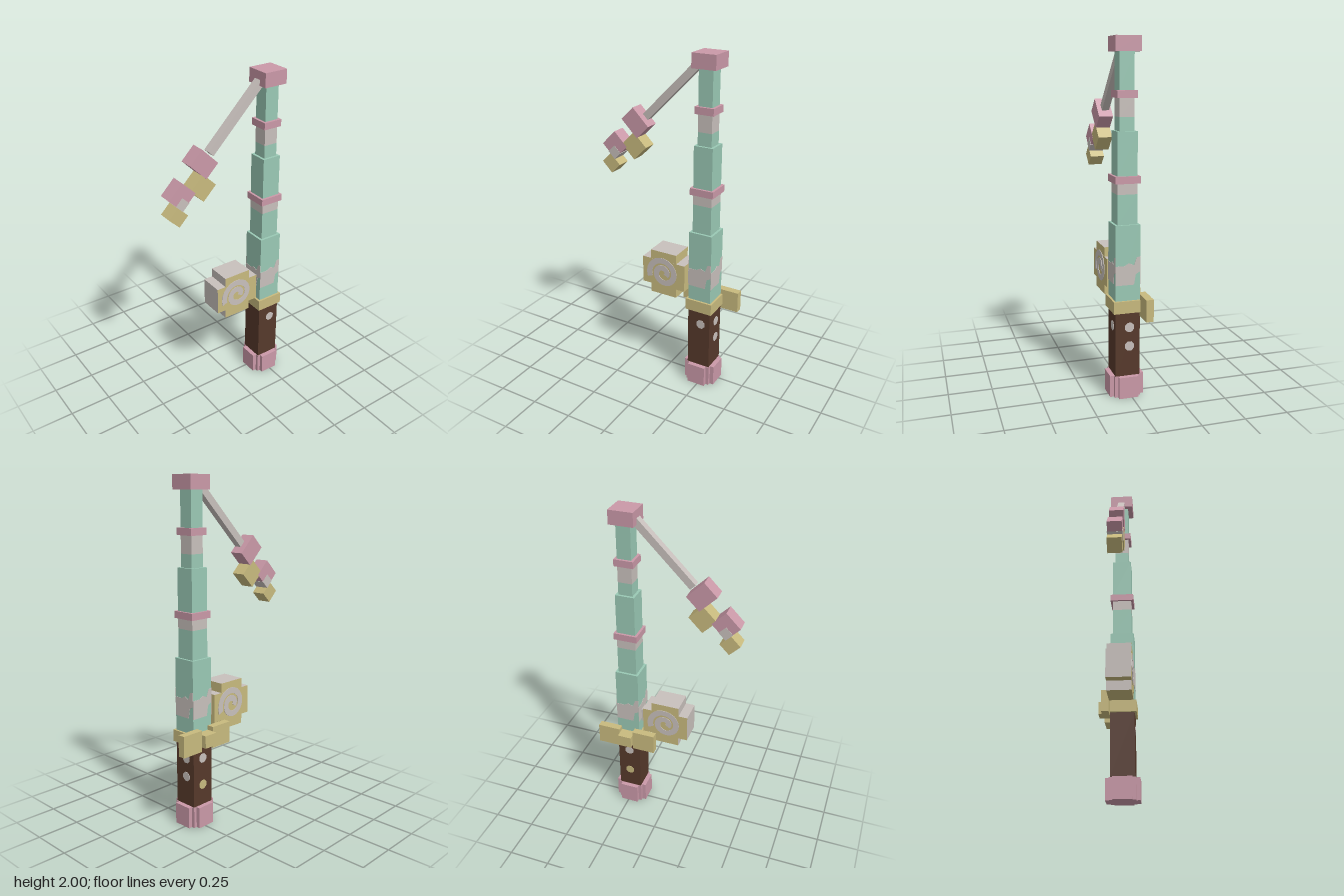
import * as THREE from 'three';

const mat = (name, color) => {
  const m = new THREE.MeshStandardMaterial({ color });
  m.name = name;
  return m;
};

export function createModel() {
  const pink = mat('pink', 0xca99a8), green = mat('mint green', 0x9ac9b5);
  const grey = mat('pale grey', 0xc8c0bc), gold = mat('straw yellow', 0xc8ba7e);
  const brown = mat('dark brown', 0x56392b);
  const root = new THREE.Group();
  root.name = 'fishingRod';

  const add = (parent, name, geometry, material, x = 0, y = 0, z = 0) => {
    const m = new THREE.Mesh(geometry, material);
    m.name = name;
    m.position.set(x, y, z);
    parent.add(m);
    return m;
  };
  const box = (parent, name, material, [w, h, d], [x, y, z]) =>
    add(parent, name, new THREE.BoxGeometry(w, h, d), material, x, y, z);
  const plate = (points) => new THREE.ExtrudeGeometry(
    new THREE.Shape(points.map(([x, y]) => new THREE.Vector2(x, y))), { depth: 0.004, bevelEnabled: false });

  // Pole: everything here is centred on its own axis
  const pole = new THREE.Group();
  pole.name = 'pole';
  pole.position.set(0.241, 0, 0.02);
  root.add(pole);
  const segments = [
    ['handle', brown, 0.142, 0.125, 0.5],
    ['guardCollar', gold, 0.167, 0.5, 0.57],
    ['lowerPole', green, 0.142, 0.57, 0.998],
    ['middlePole', green, 0.114, 0.998, 1.165],
    ['middleBand', grey, 0.114, 1.165, 1.225],
    ['middleRing', pink, 0.142, 1.225, 1.265],
    ['middlePoleTop', green, 0.114, 1.265, 1.505],
    ['upperPole', green, 0.084, 1.505, 1.58],
    ['upperBand', grey, 0.084, 1.58, 1.68],
    ['upperRing', pink, 0.114, 1.68, 1.72],
    ['upperPoleTop', green, 0.084, 1.72, 1.92],
    ['tipCap', pink, 0.142, 1.92, 2.0],
  ];
  for (const [name, m, w, y0, y1] of segments) box(pole, name, m, [w, y1 - y0, w], [0, (y0 + y1) / 2, 0]);

  // Butt: a stepped cross
  for (const [w, d] of [[0.197, 0.112], [0.112, 0.197], [0.15, 0.15]])
    box(pole, 'butt', pink, [w, 0.126, d], [0, 0.063, 0]);

  // Ragged grey patch around the lower pole, one plate per side
  const patch = plate([[-0.071, 0.66], [0.035, 0.66], [0.045, 0.72], [0.071, 0.735], [0.071, 0.82],
    [0.05, 0.815], [0.035, 0.772], [0.005, 0.785], [-0.02, 0.77], [-0.071, 0.77]]);
  for (let i = 0; i < 4; i++) {
    const a = i * Math.PI / 2;
    add(pole, 'greyPatch', patch, grey, Math.sin(a) * 0.069, 0, Math.cos(a) * 0.069).rotation.y = a;
  }

  // Studs on the handle: face angle, offset, height, colour
  const stud = new THREE.CylinderGeometry(0.029, 0.029, 0.004, 8);
  stud.rotateY(Math.PI / 8);
  stud.rotateX(Math.PI / 2);
  for (const [a, s, y, m] of [[0, 0.012, 0.413, grey], [Math.PI / 2, 0.01, 0.413, grey],
    [Math.PI / 2, 0.01, 0.302, grey], [Math.PI, 0, 0.413, grey], [Math.PI, 0, 0.25, gold]]) {
    const p = new THREE.Vector3(s, y, 0.0715).applyAxisAngle(new THREE.Vector3(0, 1, 0), a);
    add(pole, 'stud', stud, m, p.x, p.y, p.z).rotation.y = a;
  }

  // Guard behind the collar
  for (const s of [-1, 1]) box(root, 'guardWing', gold, [0.139, 0.126, 0.043], [0.2415 + s * 0.1125, 0.537, -0.0715]);
  box(root, 'guardCentre', gold, [0.086, 0.074, 0.072], [0.2415, 0.537, -0.086]);

  // Reel: stepped wheel with grey upper and outer sides, joined by an axle
  const reel = new THREE.Group();
  reel.name = 'reel';
  reel.position.set(-0.001, 0.685, 0.02);
  root.add(reel);
  const sides = [gold, grey, grey, gold, gold, gold];
  box(reel, 'reelWide', sides, [0.283, 0.168, 0.141], [0, 0, 0]);
  box(reel, 'reelTall', sides, [0.172, 0.28, 0.1405], [0, 0, 0]);
  box(reel, 'axle', grey, [0.06, 0.085, 0.053], [0.155, -0.002, 0]);

  // Spiral line wound on each face of the reel
  const outer = [], inner = [], steps = 36;
  for (let i = 0; i <= steps; i++) {
    const t = i / steps, a = Math.PI * (1.12 - 3.3 * t), r = 0.098 - 0.078 * t;
    outer.push([Math.cos(a) * (r + 0.018), Math.sin(a) * (r + 0.018)]);
    inner.unshift([Math.cos(a) * (r - 0.018), Math.sin(a) * (r - 0.018)]);
  }
  const spiral = plate([...outer, ...inner]);
  for (const s of [0, 1])
    add(reel, 'spiral', spiral, grey, 0, 0, s ? -0.0695 : 0.0695).rotation.y = s * Math.PI;

  // Line and lure hang at 45 degrees from the tip
  const tilted = (name, m, size, pos) => {
    const b = box(root, name, m, size, pos);
    b.rotation.z = -Math.PI / 4;
    return b;
  };
  tilted('line', grey, [0.043, 0.5, 0.043], [0.034, 1.787, 0.02]);
  tilted('lureHead', pink, [0.14, 0.107, 0.085], [-0.2, 1.572, 0.02]);
  tilted('lureFin', gold, [0.114, 0.114, 0.084], [-0.209, 1.437, 0.02]);
  const body = tilted('lureBody', pink, [0.114, 0.118, 0.085], [-0.341, 1.421, 0.02]);
  box(body, 'lureSpot', grey, [0.058, 0.058, 0.089], [0.03, -0.032, 0]);
  tilted('lureTail', gold, [0.088, 0.08, 0.084], [-0.369, 1.307, 0.02]);
  return root;
}
